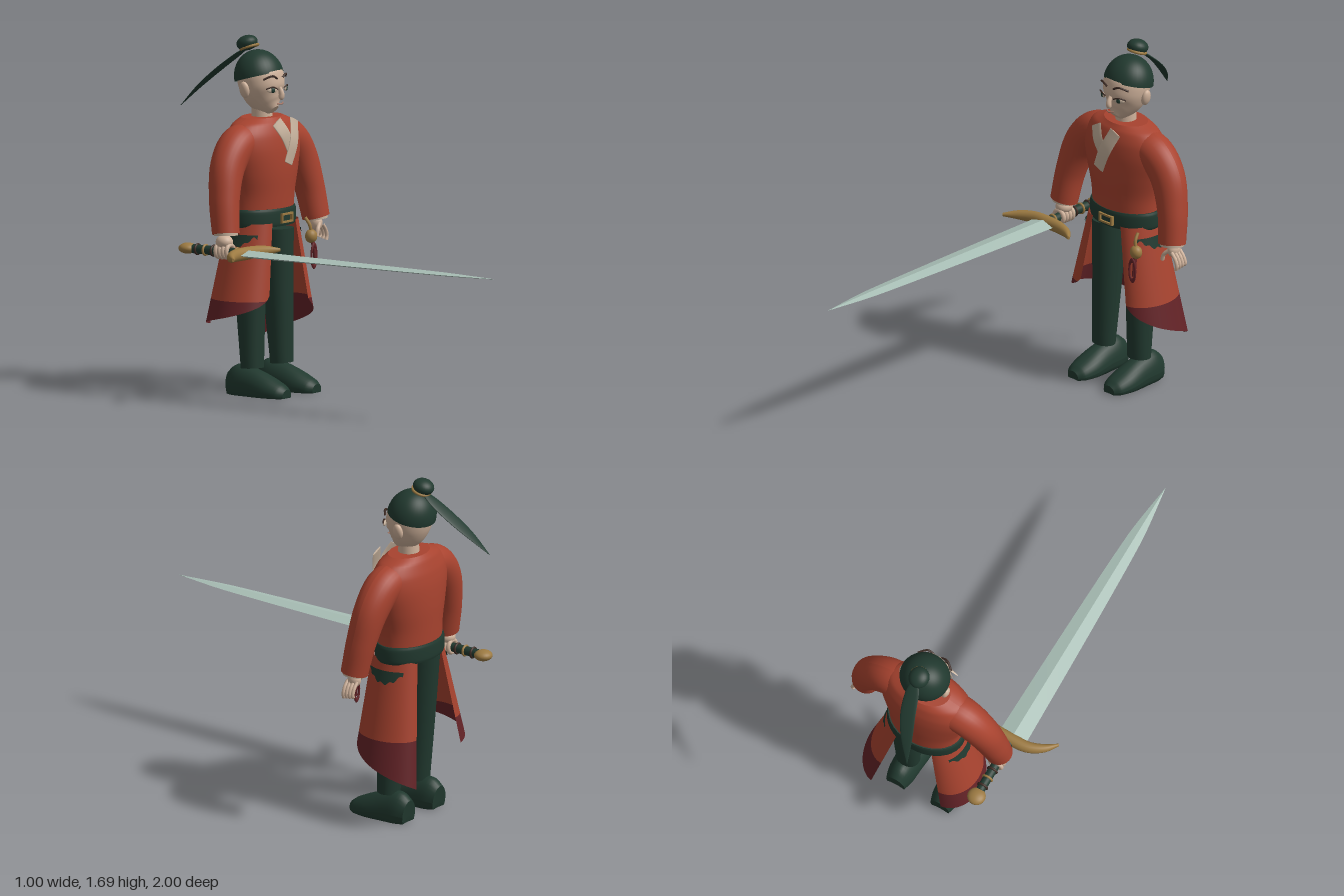
import * as THREE from 'three';

const mat = (name, color, side = THREE.FrontSide) => {
  const m = new THREE.MeshStandardMaterial({ color, side });
  m.name = name;
  return m;
};
const CX = 0.07; // middle of the body
const V = (x, y, z) => new THREE.Vector3(x, y, z);

// Skin elliptical sections [x, y, z, ra, rb] along a smooth spine; ra runs along ref x tangent
function sweep(pts, ref, seg = 24, steps = 24, flat = false) {
  const spine = new THREE.CatmullRomCurve3(pts.map(p => V(p[0], p[1], p[2])));
  const size = new THREE.CatmullRomCurve3(pts.map((p, i) => V(p[3], p[4], i * 0.05)));
  const pos = [], idx = [], rings = [];
  for (let i = 0; i <= steps; i++) {
    const c = spine.getPoint(i / steps), r = size.getPoint(i / steps), T = spine.getTangent(i / steps);
    const a = ref.clone().cross(T).normalize(), b = T.clone().cross(a);
    const ring = [];
    for (let j = 0; j <= seg; j++) {
      const t = (j / seg) * Math.PI * 2;
      ring.push(c.clone().addScaledVector(a, Math.cos(t) * r.x).addScaledVector(b, Math.sin(t) * r.y));
    }
    rings.push(ring);
    ring.forEach(p => pos.push(p.x, p.y, p.z));
  }
  const w = seg + 1;
  for (let i = 0; i < steps; i++) for (let j = 0; j < seg; j++) {
    const p = i * w + j;
    idx.push(p, p + 1, p + w, p + 1, p + w + 1, p + w);
  }
  // end caps
  [0, steps].forEach(e => {
    const c = spine.getPoint(e / steps), o = pos.length / 3;
    pos.push(c.x, c.y, c.z);
    rings[e].forEach(p => pos.push(p.x, p.y, p.z));
    for (let j = 1; j <= seg; j++) e ? idx.push(o, o + j, o + j + 1) : idx.push(o, o + j + 1, o + j);
  });
  let g = new THREE.BufferGeometry();
  g.setAttribute('position', new THREE.Float32BufferAttribute(pos, 3));
  g.setIndex(idx);
  if (flat) g = g.toNonIndexed();
  g.computeVertexNormals();
  return g;
}

// Half-wrapped skirt surface; u goes from the front edge (0) to the back edge (1)
function skirt(s, u0, u1, top, bottom, off = 0) {
  const nu = 28, nv = 10, pos = [], idx = [];
  for (let i = 0; i <= nu; i++) for (let j = 0; j <= nv; j++) {
    const u = u0 + (u1 - u0) * i / nu, y = top(u) + (bottom(u) - top(u)) * j / nv;
    const f = (0.8 - y) / 0.59, a = u * Math.PI;
    const edge = 0.095 + 0.1 * f, outer = 0.19 + (s > 0 ? 0.13 : 0.16) * f;
    pos.push(CX + s * (edge + (outer - edge) * Math.sin(a) + off * Math.sin(a)), y,
      -0.608 - 0.012 * f + (0.125 + 0.055 * f + off) * Math.cos(a));
  }
  for (let i = 0; i < nu; i++) for (let j = 0; j < nv; j++) {
    const p = i * (nv + 1) + j, q = p + nv + 1;
    if (s > 0) idx.push(p, q, p + 1, q, q + 1, p + 1);
    else idx.push(p, p + 1, q, q, p + 1, q + 1);
  }
  const g = new THREE.BufferGeometry();
  g.setAttribute('position', new THREE.Float32BufferAttribute(pos, 3));
  g.setIndex(idx);
  g.computeVertexNormals();
  return g;
}

export function createModel() {
  const root = new THREE.Group();
  root.name = 'swordsman';
  const red = mat('red cloth', 0xa8432f, THREE.DoubleSide);
  const darkRed = mat('dark red trim', 0x642327, THREE.DoubleSide);
  const green = mat('dark green cloth', 0x21392f, THREE.DoubleSide);
  const skin = mat('skin', 0xcfb29b), ivory = mat('ivory cloth', 0xc4b09b), gold = mat('brass', 0x9c7a42);
  const steel = mat('steel', 0xa9bfb6), brown = mat('dark brown', 0x3d2b24), lip = mat('lips', 0xa67867);
  const X = V(1, 0, 0), Y = V(0, 1, 0), Z = V(0, 0, 1);
  const add = (name, g, m, parent = root) => {
    const mesh = new THREE.Mesh(g, m);
    mesh.name = name;
    parent.add(mesh);
    return mesh;
  };
  const ball = (name, m, x, y, z, rx, ry, rz) => {
    const b = add(name, new THREE.SphereGeometry(1, 24, 16), m);
    b.position.set(x, y, z);
    b.scale.set(rx, ry, rz);
    return b;
  };
  const tube = (name, m, r, ...p) => add(name,
    new THREE.TubeGeometry(new THREE.CatmullRomCurve3(p.map(q => V(...q))), 14, r, 8), m);

  // Tunic, belt and buckle
  add('tunic', sweep([[CX, 0.84, -0.617, 0.185, 0.132], [CX, 0.95, -0.615, 0.188, 0.137], [CX, 1.06, -0.613, 0.215, 0.142],
    [CX, 1.16, -0.612, 0.24, 0.138], [CX, 1.23, -0.612, 0.235, 0.126], [CX, 1.285, -0.613, 0.19, 0.105],
    [CX, 1.312, -0.613, 0.12, 0.085]], Z, 40, 32), red);
  add('belt', sweep([[CX, 0.8, -0.617, 0.193, 0.138], [CX, 0.815, -0.617, 0.198, 0.142], [CX, 0.87, -0.617, 0.198, 0.142],
    [CX, 0.885, -0.617, 0.192, 0.138]], Z, 40, 10), green);
  const rect = (P, w, h) => new P([V(-w, -h, 0), V(w, -h, 0), V(w, h, 0), V(-w, h, 0)].map(p => new THREE.Vector2(p.x, p.y)));
  const frame = rect(THREE.Shape, 0.045, 0.023);
  frame.holes.push(rect(THREE.Path, 0.035, 0.014));
  add('buckle', new THREE.ExtrudeGeometry(frame, { depth: 0.014, bevelEnabled: false }), gold).position.set(0.077, 0.838, -0.48);

  // Crossed collar
  add('collarUnder', sweep([[0.005, 1.3, -0.48, 0.034, 0.004], [0.04, 1.24, -0.456, 0.034, 0.004],
    [0.085, 1.165, -0.455, 0.03, 0.004]], Z, 12, 12), ivory);
  add('collarOver', sweep([[0.137, 1.3, -0.474, 0.034, 0.004], [0.095, 1.2, -0.444, 0.034, 0.004],
    [0.053, 1.1, -0.446, 0.032, 0.004]], Z, 12, 12), ivory);

  for (const s of [-1, 1]) {
    const mx = d => CX + s * d, side = s > 0 ? 'left' : 'right';
    // Sleeves
    add(side + 'Sleeve', sweep([[mx(0.08), 1.215, -0.615, 0.085, 0.09], [mx(0.2), 1.19, -0.612, 0.09, 0.088],
      [mx(0.285), 1.1, -0.605, 0.088, 0.08], [mx(0.338), 0.95, -0.585, 0.073, 0.072],
      [mx(0.36), 0.795, -0.56, 0.068, 0.064]], Z, 28, 30), red);
    add(side + 'Cuff', sweep([[mx(0.358), 0.81, -0.562, 0.058, 0.056], [mx(0.36), 0.786, -0.56, 0.058, 0.056]], Z, 24, 2), ivory);
    // Trouser legs
    add(side + 'Leg', sweep([[mx(0.107), 0.768, -0.61, 0.077, 0.09], [mx(0.11), 0.5, -0.6, 0.07, 0.075],
      [mx(0.118), 0.13, -0.582, 0.059, 0.053]], Z, 24, 12), green);
    // Shoes, flattened on the ground
    const shoe = sweep([[mx(0.12), 0.035, -0.7, 0.05, 0.075], [mx(0.12), 0.04, -0.65, 0.064, 0.104],
      [mx(0.12), 0.04, -0.58, 0.069, 0.092], [mx(0.12), 0.025, -0.48, 0.074, 0.07],
      [mx(0.12), 0.015, -0.41, 0.06, 0.048], [mx(0.12), 0.012, -0.38, 0.035, 0.03]], Y, 28, 24);
    const p = shoe.attributes.position;
    for (let i = 0; i < p.count; i++) p.setY(i, Math.max(0, p.getY(i)));
    shoe.computeVertexNormals();
    add(side + 'Shoe', shoe, green);
    // Skirt panel, trim and side patch
    const hem = u => s > 0 ? 0.44 - 0.23 * Math.pow(u, 0.8) : 0.485 - 0.155 * Math.pow(u, 0.6);
    const trim = u => Math.max(hem(u), s > 0 ? 0.44 : 0.46);
    add(side + 'SkirtPanel', skirt(s, 0, 1, () => 0.82, trim), red);
    add(side + 'SkirtTrim', skirt(s, 0, 1, trim, hem), darkRed);
    add(side + 'SkirtPatch', skirt(s, 0.24, 0.76, () => 0.77,
      u => 0.755 - 0.045 * Math.max(0, Math.sin((u - 0.3) * 7)) - 0.006 * Math.sin(u * 60), 0.007), green);
    // Ears, eyes and brows
    ball(side + 'Ear', skin, mx(0.113), 1.445, -0.632, 0.018, 0.04, 0.026).rotation.z = -s * 0.2;
    const eye = ball(side + 'Eye', ivory, mx(0.054), 1.446, -0.513, 0.027, 0.013, 0.007);
    eye.rotation.y = s * 0.4;
    ball(side + 'Iris', green, mx(0.054), 1.446, -0.508, 0.011, 0.012, 0.005).rotation.y = s * 0.4;
    tube(side + 'Lash', brown, 0.0035, [mx(0.026), 1.449, -0.503], [mx(0.054), 1.461, -0.506], [mx(0.086), 1.453, -0.527]);
    tube(side + 'Brow', brown, 0.005, [mx(0.02), 1.498, -0.509], [mx(0.052), 1.513, -0.512], [mx(0.09), 1.497, -0.54]);
  }

  // Head and neck
  add('neck', new THREE.CylinderGeometry(0.046, 0.052, 0.15, 24), skin).position.set(CX, 1.35, -0.612);
  add('head', sweep([[CX, 1.343, -0.545, 0.025, 0.03], [CX, 1.368, -0.568, 0.058, 0.066], [CX, 1.41, -0.595, 0.093, 0.095],
    [CX, 1.46, -0.612, 0.111, 0.108], [CX, 1.52, -0.625, 0.112, 0.106], [CX, 1.585, -0.63, 0.07, 0.07]], Z, 32, 28), skin);
  add('nose', sweep([[CX, 1.455, -0.51, 0.008, 0.01], [CX, 1.425, -0.498, 0.012, 0.014], [CX, 1.405, -0.5, 0.014, 0.012],
    [CX, 1.398, -0.505, 0.004, 0.004]], Z, 14, 12), skin);
  tube('mouth', lip, 0.004, [CX - 0.025, 1.38, -0.508], [CX, 1.377, -0.499], [CX + 0.025, 1.38, -0.508]);

  // Hair cap, bun, band and trailing ribbon
  const cap = add('hairCap', new THREE.SphereGeometry(1, 36, 18, 0, Math.PI * 2, 0, Math.PI * 0.5), green);
  cap.scale.set(0.122, 0.128, 0.115);
  cap.position.set(CX, 1.497, -0.629);
  cap.rotation.x = -0.27;
  ball('hairBun', green, 0.065, 1.652, -0.695, 0.05, 0.036, 0.052).rotation.x = -0.3;
  const band = add('hairBand', new THREE.TorusGeometry(0.042, 0.007, 8, 28), gold);
  band.position.set(CX, 1.632, -0.685);
  band.rotation.x = Math.PI / 2 - 0.35;
  add('hairRibbon', sweep([[0.075, 1.63, -0.7, 0.015, 0.006], [0.065, 1.585, -0.76, 0.034, 0.006],
    [0.04, 1.515, -0.845, 0.038, 0.005], [0, 1.435, -0.925, 0.028, 0.004], [-0.045, 1.343, -1, 0.002, 0.001]],
    V(0, 0.7, -0.7), 14, 20), green);

  // Open left hand
  ball('leftPalm', skin, 0.437, 0.763, -0.565, 0.028, 0.036, 0.034);
  for (let i = 0; i < 4; i++) {
    const z = -0.537 - i * 0.018;
    tube('leftFinger', skin, 0.009, [0.45, 0.76, z], [0.476, 0.73, z], [0.486, 0.7, z], [0.48, 0.68 + i * 0.004, z]);
  }
  tube('leftThumb', skin, 0.01, [0.43, 0.765, -0.54], [0.405, 0.74, -0.53], [0.396, 0.71, -0.53]);

  // Right fist around the grip
  const SX = -0.295, SY = 0.71;
  ball('rightPalm', skin, SX, 0.757, -0.565, 0.04, 0.034, 0.042);
  for (let i = 0; i < 4; i++)
    add('rightFinger', new THREE.TorusGeometry(0.03, 0.011, 8, 20), skin).position.set(SX, SY + 0.004, -0.532 - i * 0.021);

  // Sword
  add('blade', sweep([[SX, SY, -0.44, 0.07, 0.018], [SX, SY, 0.2, 0.055, 0.013], [SX, SY, 0.72, 0.036, 0.009],
    [SX, SY, 1, 0.001, 0.001]], Y, 4, 18, true), steel);
  add('guard', sweep([[-0.503, SY, -0.362, 0.006, 0.008], [-0.45, SY, -0.412, 0.02, 0.022], [-0.38, SY, -0.445, 0.027, 0.029],
    [SX, SY, -0.45, 0.03, 0.031], [-0.21, SY, -0.445, 0.027, 0.029], [-0.14, SY, -0.425, 0.02, 0.022],
    [-0.09, SY, -0.39, 0.006, 0.008]], Y, 20, 30), gold);
  const grip = add('grip', new THREE.CylinderGeometry(0.022, 0.022, 0.29, 20), green);
  grip.rotation.x = Math.PI / 2;
  grip.position.set(SX, SY, -0.6);
  for (let i = 0; i < 6; i++)
    add('gripRing', new THREE.TorusGeometry(0.023, 0.006, 8, 20), i % 2 ? brown : gold).position.set(SX, SY, -0.49 - i * 0.046);
  ball('pommel', gold, SX, SY, -0.778, 0.044, 0.026, 0.044);

  // Belt charm with tassel
  tube('charmStrap', gold, 0.008, [0.262, 0.815, -0.5], [0.268, 0.78, -0.478], [0.275, 0.74, -0.475]);
  ball('charm', gold, 0.275, 0.727, -0.475, 0.031, 0.033, 0.028);
  const loop = add('tasselLoop', new THREE.TorusGeometry(0.02, 0.005, 8, 24), darkRed);
  loop.position.set(0.27, 0.637, -0.455);
  loop.scale.y = 2.6;
  tube('tassel', darkRed, 0.009, [0.275, 0.71, -0.47], [0.28, 0.66, -0.46], [0.28, 0.61, -0.455]);
  return root;
}
